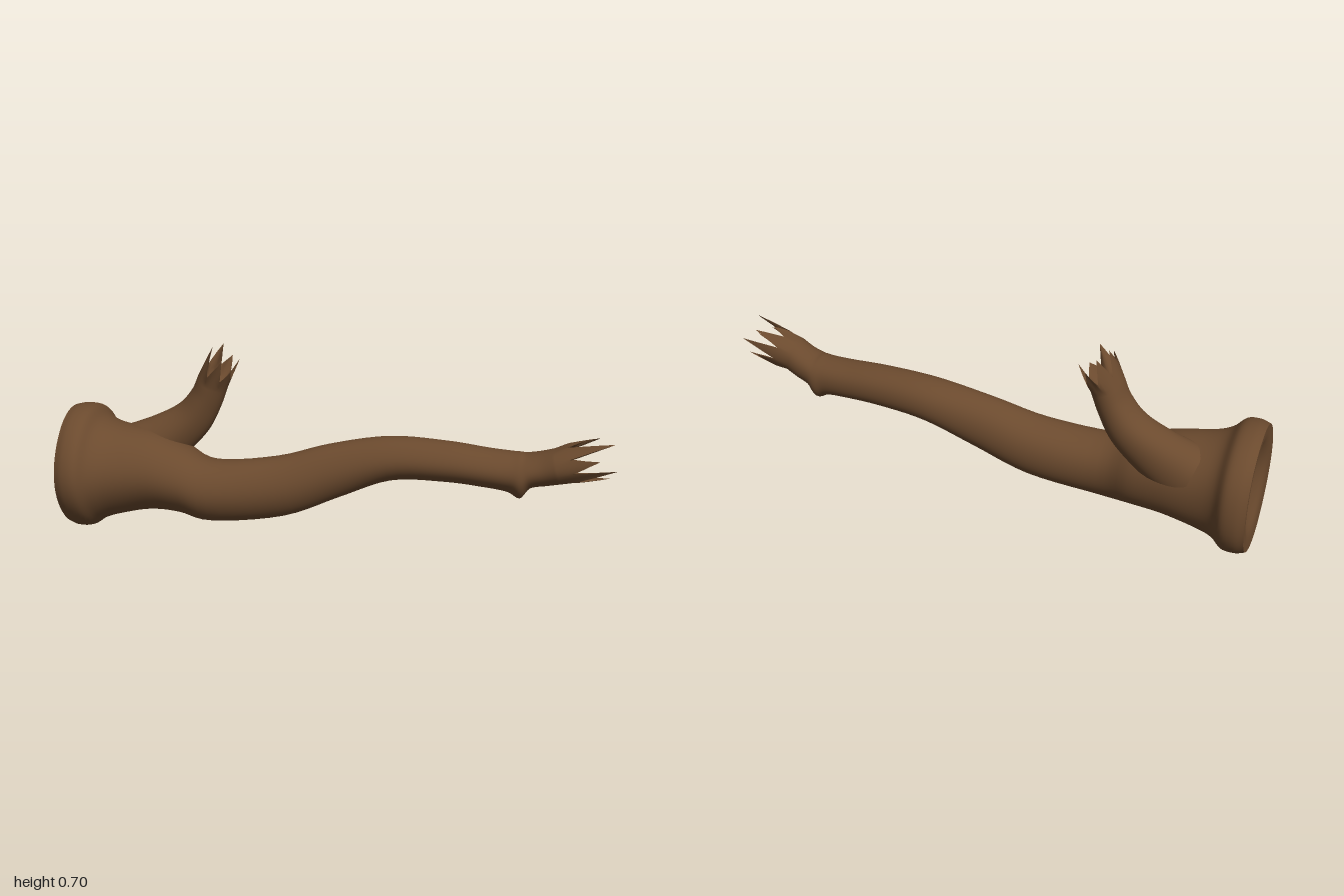
import * as THREE from 'three';

// Section rows: x, y, z, radius up, radius sideways, lean angle of the axis in the xy plane
const TRUNK = [
  [-1.0, 0.24, -0.005, 0.228, 0.21, 0],
  [-0.965, 0.24, -0.005, 0.235, 0.228, 0],
  [-0.92, 0.24, -0.005, 0.228, 0.228, 0],
  [-0.88, 0.235, -0.003, 0.195, 0.195, 0],
  [-0.82, 0.234, -0.008, 0.174, 0.172, 0],
  [-0.7, 0.237, -0.014, 0.15, 0.154, 0],
  [-0.58, 0.217, -0.005, 0.128, 0.14, 0],
  [-0.45, 0.188, 0.018, 0.116, 0.115, 0],
  [-0.2, 0.215, -0.005, 0.113, 0.1, 0.15],
  [0.0, 0.283, -0.028, 0.1, 0.088, 0.25],
  [0.2, 0.34, -0.042, 0.08, 0.087, 0.1],
  [0.4, 0.348, -0.032, 0.073, 0.083, 0],
  [0.55, 0.34, -0.022, 0.07, 0.081, 0],
  [0.63, 0.334, -0.017, 0.073, 0.08, 0],
  [0.67, 0.325, -0.013, 0.083, 0.084, 0.05],
  [0.7, 0.346, -0.01, 0.062, 0.078, 0.15],
  [0.75, 0.36, -0.002, 0.061, 0.073, 0.25],
  [0.8, 0.377, 0.01, 0.063, 0.071, 0.27],
];
const LIMB = [
  [-0.78, 0.27, -0.07, 0.12, 0.1, 0.35],
  [-0.66, 0.345, -0.085, 0.095, 0.085, 0.6],
  [-0.56, 0.425, -0.095, 0.075, 0.077, 0.85],
  [-0.505, 0.505, -0.095, 0.062, 0.073, 1.05],
  [-0.475, 0.575, -0.094, 0.058, 0.075, 1.12],
];
// Dished cut face, from its centre out to the trunk rim
const CUT = [
  [-0.955, 0.24, -0.005, 0.001, 0.001, 0],
  [-0.96, 0.24, -0.005, 0.08, 0.07, 0],
  [-0.978, 0.24, -0.005, 0.135, 0.12, 0],
  [-0.995, 0.24, -0.005, 0.175, 0.16, 0],
  [-1.0, 0.24, -0.005, 0.228, 0.21, 0],
];

// One closed ring; slide(theta) moves each point along the axis
function ring([x, y, z, ru, rs, lean], segs, slide = () => 0) {
  const pts = [];
  for (let j = 0; j < segs; j++) {
    const a = (j / segs) * Math.PI * 2;
    const wobble = 1 + 0.012 * Math.sin(3 * a + 1 + 4 * x) + 0.008 * Math.sin(5 * a);
    const up = ru * wobble * Math.cos(a), side = rs * wobble * Math.sin(a), s = slide(j);
    pts.push(new THREE.Vector3(
      x - Math.sin(lean) * up + Math.cos(lean) * s,
      y + Math.cos(lean) * up + Math.sin(lean) * s,
      z + side));
  }
  return pts;
}

// Smoothly interpolated section rows
function refine(rows, steps) {
  const curve = k => new THREE.CatmullRomCurve3(
    rows.map(r => new THREE.Vector3(r[k], r[k + 1], r[k + 2])), false, 'catmullrom', 0.5);
  const mid = curve(0), size = curve(3), out = [], n = (rows.length - 1) * steps;
  for (let i = 0; i <= n; i++) {
    out.push([...mid.getPoint(i / n).toArray(), ...size.getPoint(i / n).toArray()]);
  }
  return out;
}

// Skin over a list of rings
function loft(rings) {
  const n = rings[0].length, index = [];
  for (let i = 0; i < rings.length - 1; i++) {
    for (let j = 0; j < n; j++) {
      const a = i * n + j, b = i * n + (j + 1) % n;
      index.push(a, b, a + n, b, b + n, a + n);
    }
  }
  const geo = new THREE.BufferGeometry().setFromPoints(rings.flat());
  geo.setIndex(index);
  geo.computeVertexNormals();
  return geo;
}

export function createModel() {
  const bark = new THREE.MeshStandardMaterial({ color: 0x6b4a2e });
  bark.name = 'brown bark';
  const model = new THREE.Group();
  model.name = 'brokenBranch';
  const add = (name, geo) => {
    const mesh = new THREE.Mesh(geo, bark);
    mesh.name = name;
    model.add(mesh);
  };

  // A bark tube ending in a hollow crown of splinters
  function stem(name, rows, steps, teeth, valley, endUp, endSide) {
    const per = 6, segs = teeth.length * per;
    const length = j => {
      const t = j / per, k = Math.round(t) % teeth.length;
      const peak = 1 - Math.abs(t - Math.round(t)) * 2;
      return valley[k % valley.length] * (1 - peak) + teeth[k] * peak;
    };
    const tip = rows[rows.length - 1];
    const crown = (f, scale) => ring([tip[0], tip[1], tip[2],
      THREE.MathUtils.lerp(tip[3], endUp, f) * scale,
      THREE.MathUtils.lerp(tip[4], endSide, f) * scale, tip[5]], segs, j => length(j) * f);
    const outer = refine(rows, steps).map(r => ring(r, segs));
    add(name + 'Bark', loft([...outer, crown(0.33, 1), crown(0.67, 1), crown(1, 1)]));

    // Inner walls and floor of the hollow
    const floor = ring([tip[0], tip[1], tip[2], 0.001, 0.001, tip[5]], segs, () => -0.02);
    add(name + 'Hollow', loft([crown(1, 1), crown(0.6, 0.85), crown(0.25, 0.75), crown(0, 0.6), floor]));
  }

  stem('trunk', TRUNK, 5, [0.11, 0.21, 0.15, 0.2, 0.17, 0.18, 0.13, 0.195, 0.16], [0.05], 0.073, 0.072);
  stem('sideLimb', LIMB, 6, [0.115, 0.085, 0.115, 0.075, 0.11, 0.09, 0.12], [0.035], 0.055, 0.092);
  add('cutFace', loft(refine(CUT, 3).map(r => ring(r, 54))));
  return model;
}
